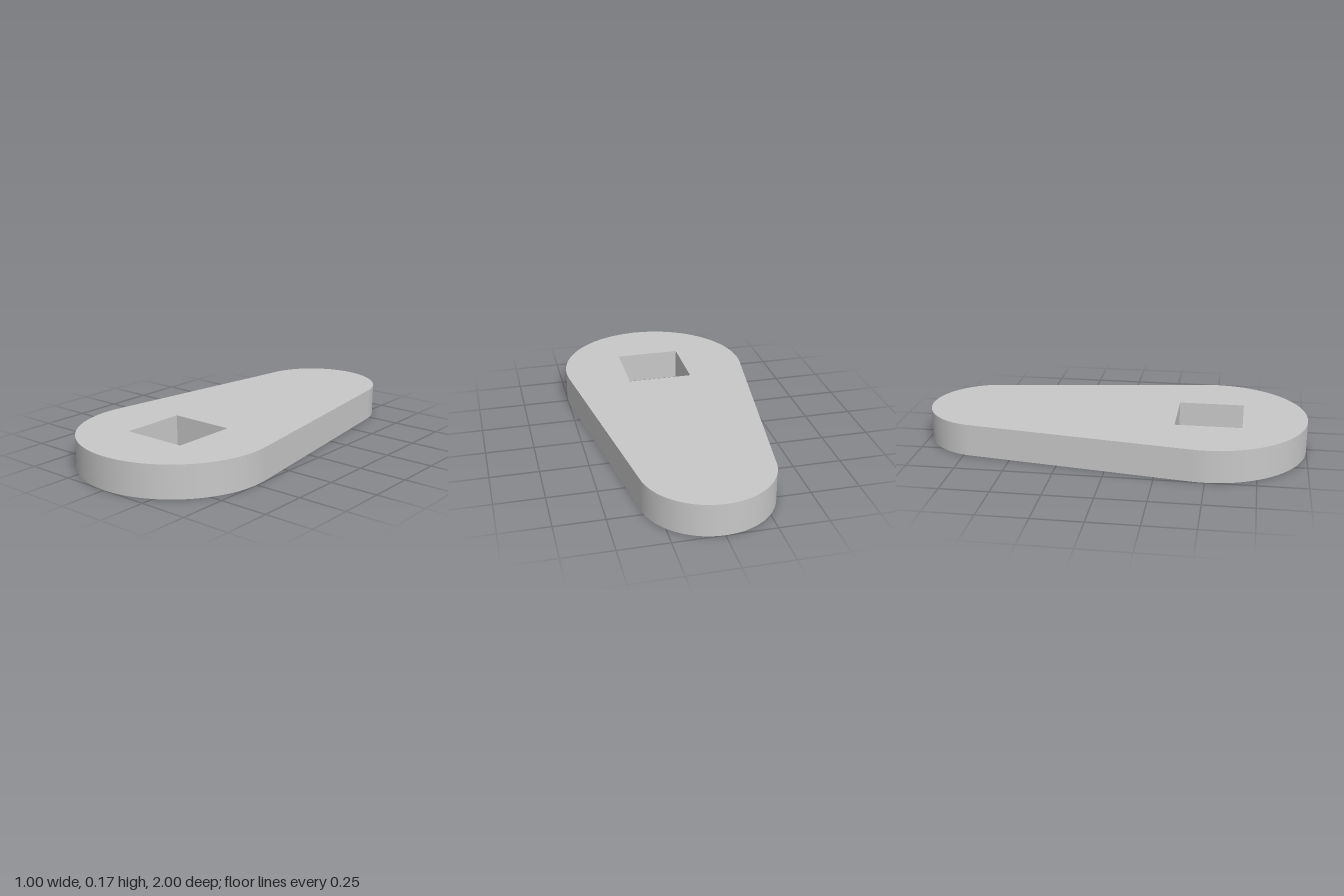
import * as THREE from 'three';
import { toCreasedNormals } from 'three/addons/utils/BufferGeometryUtils.js';

const THICKNESS = 0.167;
const LARGE = { r: 0.5, y: -0.5 };     // front end (shape y = -z)
const SMALL = { r: 0.333, y: 0.667 };  // back end
const HOLE = { half: 0.172, y: -0.495 };

export function createModel() {
  const group = new THREE.Group();
  group.name = 'leverPlate';

  const lightGrey = new THREE.MeshStandardMaterial({ color: 0xc8c8c8 });
  lightGrey.name = 'lightGrey';

  // Outline: two round ends joined by their common tangents
  const a = Math.asin((LARGE.r - SMALL.r) / (SMALL.y - LARGE.y));
  const outline = new THREE.Shape();
  outline.absarc(0, SMALL.y, SMALL.r, a, Math.PI - a, false);
  outline.absarc(0, LARGE.y, LARGE.r, Math.PI - a, 2 * Math.PI + a, false);
  outline.closePath();

  // Square through hole at the centre of the large end
  const h = HOLE.half;
  const hole = new THREE.Path();
  hole.moveTo(-h, HOLE.y - h);
  hole.lineTo(-h, HOLE.y + h);
  hole.lineTo(h, HOLE.y + h);
  hole.lineTo(h, HOLE.y - h);
  hole.closePath();
  outline.holes.push(hole);

  // Lay the plate flat, with smooth rounded ends and sharp rims
  const extruded = new THREE.ExtrudeGeometry(outline, {
    depth: THICKNESS, bevelEnabled: false, curveSegments: 48,
  });
  extruded.rotateX(-Math.PI / 2);
  const plate = new THREE.Mesh(toCreasedNormals(extruded, Math.PI / 6), lightGrey);
  plate.name = 'taperedPlate';
  group.add(plate);

  return group;
}
